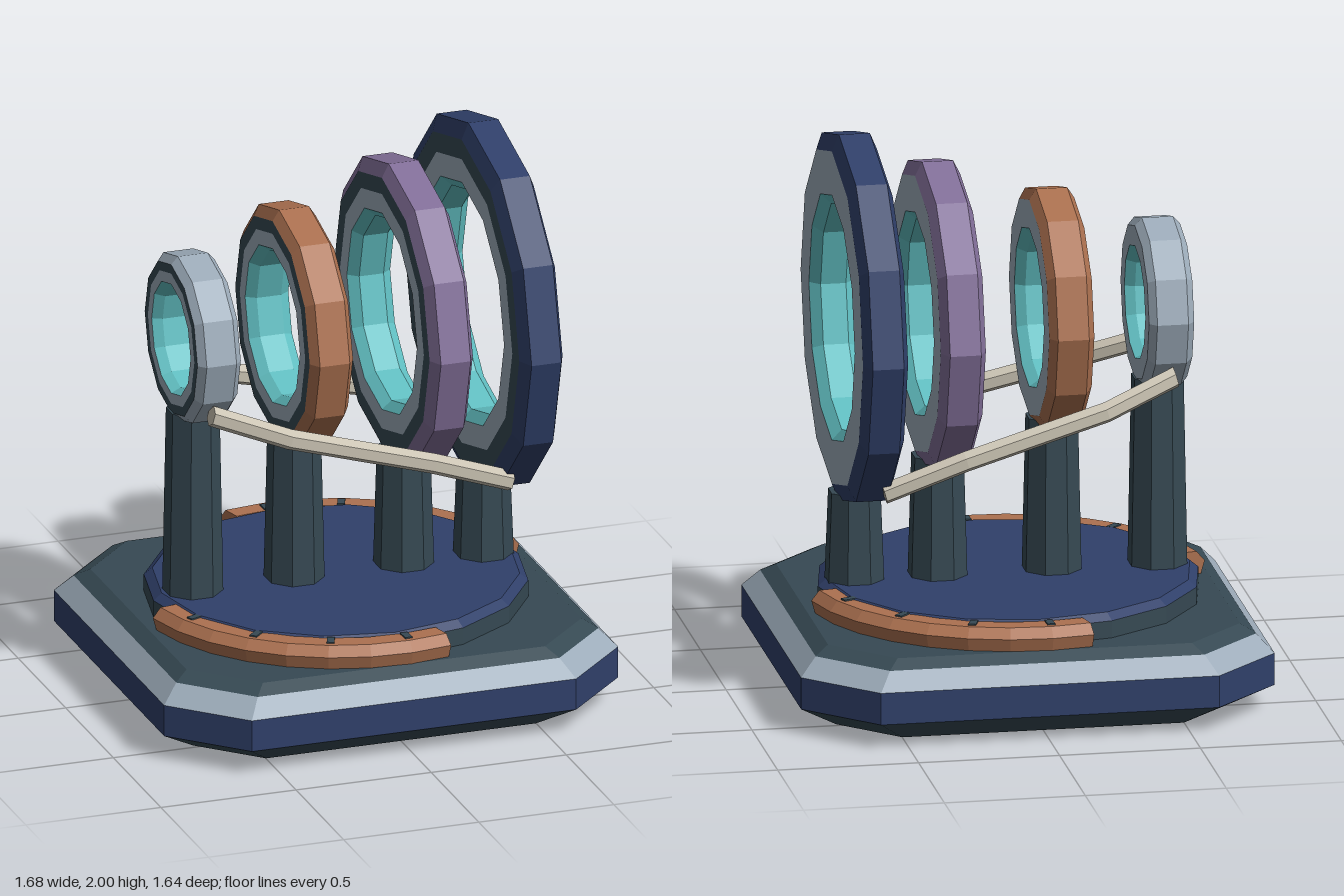
import * as THREE from 'three';

const palette = {
  navy: 0x30406a, slate: 0x364953, silver: 0x9dacba, copper: 0xac7150,
  violet: 0x83709a, teal: 0x62c0c3, cream: 0xc9c2b2,
};

// Faceted normals for the low-poly look
function facet(geometry) {
  const g = geometry.index ? geometry.toNonIndexed() : geometry;
  g.computeVertexNormals();
  return g;
}

// Skin a row of equal-length point loops, with optional end caps
function loft(loops, capStart = true, capEnd = true) {
  const n = loops[0].length;
  const index = [];
  loops.slice(1).forEach((_, i) => {
    for (let k = 0; k < n; k++) {
      const a = i * n + k, b = i * n + (k + 1) % n;
      index.push(a, b, a + n, b, b + n, a + n);
    }
  });
  const last = (loops.length - 1) * n;
  for (let k = 1; k < n - 1; k++) {
    if (capStart) index.push(0, k + 1, k);
    if (capEnd) index.push(last, last + k, last + k + 1);
  }
  const g = new THREE.BufferGeometry();
  g.setAttribute('position', new THREE.Float32BufferAttribute(loops.flat(2), 3));
  g.setIndex(index);
  return facet(g);
}

export function createModel() {
  const model = new THREE.Group();
  model.name = 'ringStand';
  const mats = {};
  for (const [name, color] of Object.entries(palette)) {
    mats[name] = new THREE.MeshStandardMaterial({ color });
    mats[name].name = name;
  }
  function add(parent, name, geometry, mat) {
    const mesh = new THREE.Mesh(geometry, mats[mat]);
    mesh.name = name;
    parent.add(mesh);
    return mesh;
  }

  // Base: chamfered plinth stacked in coloured bands
  const octagon = (s, y) => [
    [-0.6, 0.82], [0.6, 0.82], [0.84, 0.58], [0.84, -0.58],
    [0.6, -0.82], [-0.6, -0.82], [-0.84, -0.58], [-0.84, 0.58],
  ].map(([x, z]) => [x * s, y, z * s]);
  const base = new THREE.Group();
  base.name = 'base';
  model.add(base);
  add(base, 'baseUnderside', loft([octagon(0.832, 0), octagon(1, 0.09)], true, false), 'slate');
  add(base, 'baseSide', loft([octagon(1, 0.09), octagon(1, 0.205)], false, false), 'navy');
  add(base, 'baseTrim', loft([octagon(1, 0.205), octagon(0.93, 0.268)], false, false), 'silver');
  add(base, 'baseTop', loft([octagon(0.93, 0.268), octagon(0.87, 0.298)], false, true), 'slate');

  // Turntable disc
  const rim = add(base, 'discRim', facet(new THREE.CylinderGeometry(0.675, 0.675, 0.07, 16)), 'slate');
  rim.position.y = 0.325;
  rim.scale.z = 0.965;
  const disc = add(base, 'discTop', facet(new THREE.CylinderGeometry(0.645, 0.675, 0.025, 16)), 'navy');
  disc.position.y = 0.3725;
  disc.scale.z = 0.965;

  // Two opposite curved guards with inlaid tick marks
  const section = [[0.70, 0.38], [0.73, 0.345], [0.715, 0.295], [0.63, 0.295], [0.63, 0.38]];
  for (const turn of [0, Math.PI]) {
    const guard = new THREE.Group();
    guard.name = turn ? 'backGuard' : 'frontGuard';
    guard.rotation.y = turn;
    model.add(guard);
    const loops = [];
    for (let i = 0; i <= 8; i++) {
      const a = THREE.MathUtils.degToRad(-80.5 + (94.5 * i) / 8);
      loops.push(section.map(([r, y]) => [Math.sin(a) * r, y, Math.cos(a) * r]));
    }
    add(guard, 'guardArc', loft(loops), 'copper');
    for (let i = 0; i < 4; i++) {
      const a = THREE.MathUtils.degToRad(-68 + 23.5 * i);
      const tick = add(guard, 'tickMark', new THREE.BoxGeometry(0.027, 0.008, 0.05), 'slate');
      tick.position.set(Math.sin(a) * 0.657, 0.381, Math.cos(a) * 0.657);
      tick.rotation.y = a;
    }
  }

  // Four rings of growing size, each on its own column
  const centreY = 1.335;
  const rings = [
    [-0.53, 0.305, 'silver'], [-0.155, 0.43, 'copper'],
    [0.25, 0.55, 'violet'], [0.545, 0.665, 'navy'],
  ];
  rings.forEach(([x, r, color], i) => {
    const ring = new THREE.Group();
    ring.name = `ring${i + 1}`;
    ring.position.set(x, centreY, 0);
    ring.rotation.z = -Math.PI / 2;
    model.add(ring);
    const band = (name, profile, mat) => add(ring, name, facet(new THREE.LatheGeometry(
      profile.map(([s, y]) => new THREE.Vector2(s * r, y)), 12)), mat);
    band('ringShell', [[0.91, -0.08], [1, -0.055], [1, 0.055], [0.91, 0.08]], color);
    band('ringFace', [[0.91, 0.08], [0.67, 0.08]], 'silver');
    band('ringLining', [[0.67, 0.08], [0.615, 0.045], [0.615, -0.045], [0.67, -0.08]], 'teal');
    band('ringBackFace', [[0.67, -0.08], [0.8, -0.08]], 'silver');
    band('ringBackTrim', [[0.8, -0.08], [0.91, -0.08]], 'slate');

    const bottom = 0.37, top = centreY - r + 0.035;
    const column = add(model, `column${i + 1}`, facet(
      new THREE.CylinderGeometry(0.094, 0.107, top - bottom, 8, 1, false, Math.PI / 8)), 'slate');
    column.position.set(x, (top + bottom) / 2, 0);
  });

  // Side rails linking the rings, mirrored front to back
  const path = [[-0.55, 1.13, 0.25], [-0.29, 1.04, 0.335], [0.22, 0.905, 0.395], [0.51, 0.80, 0.387]];
  for (const side of [1, -1]) {
    const loops = path.map(([x, y, z]) => Array.from({ length: 6 }, (_, k) => {
      const a = (k * Math.PI) / 3;
      return [x + Math.cos(a) * 0.01, y + Math.cos(a) * 0.036, side * z + Math.sin(a) * 0.036];
    }));
    add(model, side > 0 ? 'frontRail' : 'backRail', loft(loops), 'cream');
  }
  return model;
}
